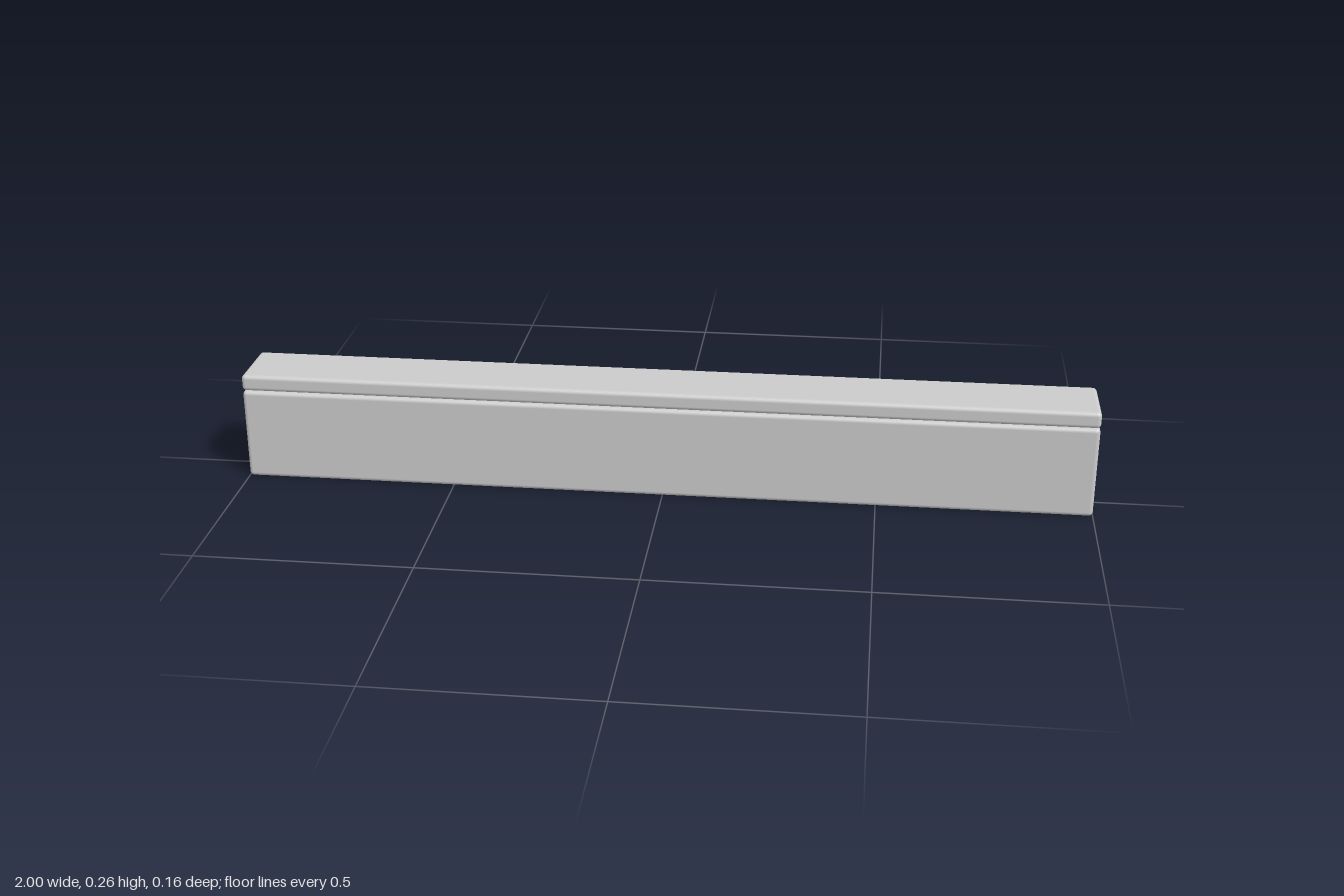
import * as THREE from 'three';
import { RoundedBoxGeometry } from 'three/addons/geometries/RoundedBoxGeometry.js';

export function createModel() {
  const group = new THREE.Group();
  group.name = 'ledge';
  const material = new THREE.MeshStandardMaterial({ color: 0xcccccc });

  // Full-length board with softly rounded edges, given by its y and z extents
  function board(name, y0, y1, z0, z1) {
    const geometry = new RoundedBoxGeometry(2, y1 - y0, z1 - z0, 4, 0.01);
    const mesh = new THREE.Mesh(geometry, material);
    mesh.name = name;
    mesh.position.set(0, (y0 + y1) / 2, (z0 + z1) / 2);
    group.add(mesh);
  }

  // Upright beam, flush with the front edge of the slab
  board('uprightBeam', 0, 0.22, -0.009, 0.08);
  // Flat slab on top, overhanging at the back
  board('topSlab', 0.221, 0.26, -0.08, 0.08);

  return group;
}
